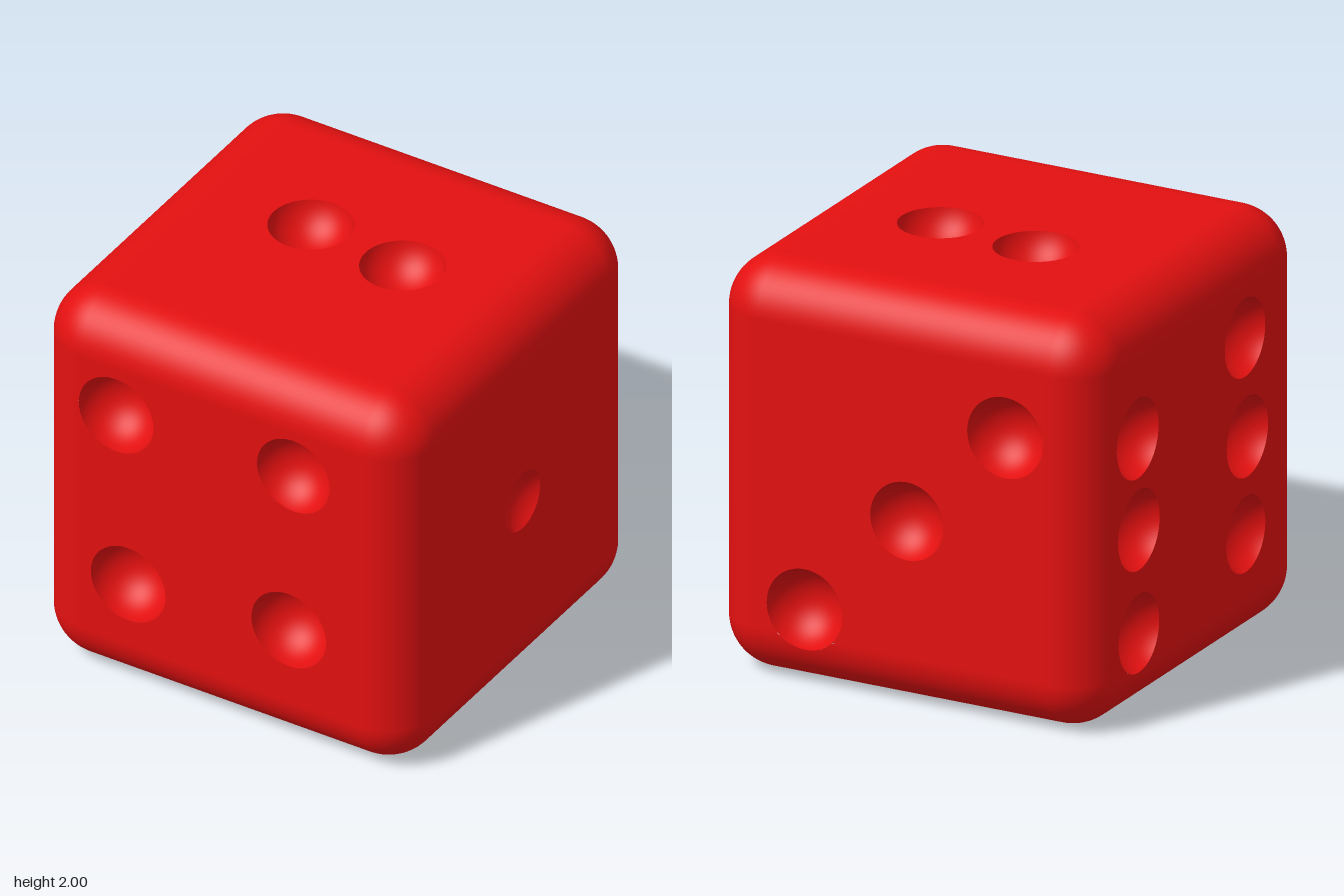
import * as THREE from 'three';

const FLAT = 0.75;   // half size of the flat part of a face
const ROUND = 0.25;  // radius of the edges
const BALL = 0.2;    // radius of the ball that hollows each pip

const V = (x, y, z) => new THREE.Vector3(x, y, z);

// Each face: axes u and v (u x v points outward) and pips as [u, v, rim radius]
const FACES = [
  { name: 'front', u: V(1, 0, 0), v: V(0, 1, 0), pips: [
    [-0.555, 0.495, 0.2], [0.395, 0.51, 0.195], [-0.49, -0.42, 0.2], [0.37, -0.355, 0.2]] },
  { name: 'back', u: V(-1, 0, 0), v: V(0, 1, 0), pips: [
    [0.535, 0.415, 0.197], [0.025, -0.085, 0.19], [-0.505, -0.613, 0.197]] },
  { name: 'left', u: V(0, 0, -1), v: V(0, 1, 0), pips: [[0, 0, 0.15]] },
  { name: 'right', u: V(0, 0, 1), v: V(0, 1, 0), pips: [
    [0.417, 0.514, 0.191], [0.44, 0.025, 0.195], [0.424, -0.445, 0.185],
    [-0.593, 0.362, 0.195], [-0.583, -0.087, 0.195], [-0.583, -0.59, 0.191]] },
  { name: 'top', u: V(1, 0, 0), v: V(0, 0, -1), pips: [[-0.22, 0.137, 0.198], [0.305, 0.083, 0.198]] },
  { name: 'bottom', u: V(1, 0, 0), v: V(0, 0, 1), pips: [
    [0.01, 0.01, 0.194], [0.545, -0.381, 0.19], [0.488, 0.56, 0.198],
    [-0.625, -0.524, 0.186], [-0.484, 0.487, 0.198]] },
];

// Moves every vertex by a rule that returns [position, normal]
function reshape(geometry, rule) {
  const pos = geometry.attributes.position, nor = geometry.attributes.normal;
  for (let i = 0; i < pos.count; i++) {
    const [p, n] = rule(pos.getX(i), pos.getY(i));
    pos.setXYZ(i, p.x, p.y, p.z);
    nor.setXYZ(i, n.x, n.y, n.z);
  }
  return geometry;
}

// Height of the rounded cube above a face's plane coordinates
function surfaceHeight(u, v) {
  const a = Math.max(Math.abs(u) - FLAT, 0), b = Math.max(Math.abs(v) - FLAT, 0);
  return FLAT + Math.sqrt(Math.max(ROUND * ROUND - a * a - b * b, 0));
}

// Flat square with a round hole for each pip
function plate(pips) {
  const shape = new THREE.Shape([[-1, -1], [1, -1], [1, 1], [-1, 1]]
    .map(([x, y]) => new THREE.Vector2(x * FLAT, y * FLAT)));
  const clamp = (x) => THREE.MathUtils.clamp(x, -FLAT + 0.0002, FLAT - 0.0002);
  for (const [u, v, r] of pips) {
    const points = [];
    for (let i = 0; i < 64; i++) {
      const a = -i / 64 * Math.PI * 2;
      points.push(new THREE.Vector2(clamp(u + r * Math.cos(a)), clamp(v + r * Math.sin(a))));
    }
    shape.holes.push(new THREE.Path(points));
  }
  return new THREE.ShapeGeometry(shape).translate(0, 0, 1);
}

// Half of a rounded edge, cut back where a pip reaches over it
function edge(side, pips) {
  const a = side * Math.PI / 2;
  const out = V(Math.round(Math.cos(a)), Math.round(Math.sin(a)), 0);
  const along = V(-out.y, out.x, 0);
  const startAngle = (t) => {
    let reach = 0;
    for (const [u, v, r] of pips) {
      const dt = t - (u * along.x + v * along.y);
      if (Math.abs(dt) < r) {
        reach = Math.max(reach, u * out.x + v * out.y + Math.sqrt(r * r - dt * dt) - FLAT);
      }
    }
    return Math.asin(reach / ROUND);
  };
  return reshape(new THREE.PlaneGeometry(1, 2 * FLAT, 8, 90), (x, t) => {
    const angle = THREE.MathUtils.lerp(startAngle(t), Math.PI / 4, x + 0.5);
    const n = out.clone().multiplyScalar(Math.sin(angle)).add(V(0, 0, Math.cos(angle)));
    const p = n.clone().multiplyScalar(ROUND)
      .addScaledVector(out, FLAT).addScaledVector(along, t).add(V(0, 0, FLAT));
    return [p, n];
  });
}

// Spherical hollow
function bowl([u, v, r]) {
  const lift = Math.sqrt(Math.max(BALL * BALL - r * r, 0));
  const maxAngle = Math.asin(Math.min(r / BALL, 1));
  return reshape(new THREE.RingGeometry(0, 1, 64, 16), (x, y) => {
    const q = Math.min(Math.hypot(x, y), 1), angle = q * maxAngle;
    const dx = q > 0 ? x / q : 0, dy = q > 0 ? y / q : 0;
    const s = Math.sin(angle), c = Math.cos(angle);
    const pu = u + dx * s * BALL, pv = v + dy * s * BALL;
    const w = Math.min(1 + lift - c * BALL, surfaceHeight(pu, pv));
    return [V(pu, pv, w), V(-dx * s, -dy * s, c)];
  });
}

export function createModel() {
  const red = new THREE.MeshStandardMaterial({ color: 0xe31010 });
  red.name = 'red';
  const model = new THREE.Group();
  model.name = 'die';

  const add = (parent, geometry, name) => {
    const mesh = new THREE.Mesh(geometry, red);
    mesh.name = name;
    parent.add(mesh);
    return mesh;
  };

  // Six faces with their edges and pips
  for (const { name, u, v, pips } of FACES) {
    const face = new THREE.Group();
    face.name = name + 'Face';
    face.quaternion.setFromRotationMatrix(
      new THREE.Matrix4().makeBasis(u, v, u.clone().cross(v)));
    face.position.y = 1;
    add(face, plate(pips), 'plate');
    for (let side = 0; side < 4; side++) add(face, edge(side, pips), 'roundedEdge');
    for (const pip of pips) add(face, bowl(pip), 'pip');
    model.add(face);
  }

  // Eight rounded corners
  const q = Math.PI / 2;
  for (let k = 0; k < 4; k++) {
    for (const half of [0, 1]) {
      const corner = add(model,
        new THREE.SphereGeometry(ROUND, 16, 16, k * q, q, half * q, q), 'corner');
      const mid = (k + 0.5) * q;
      corner.position.set(-Math.sign(Math.cos(mid)) * FLAT,
        1 + (half ? -FLAT : FLAT), Math.sign(Math.sin(mid)) * FLAT);
    }
  }
  return model;
}
